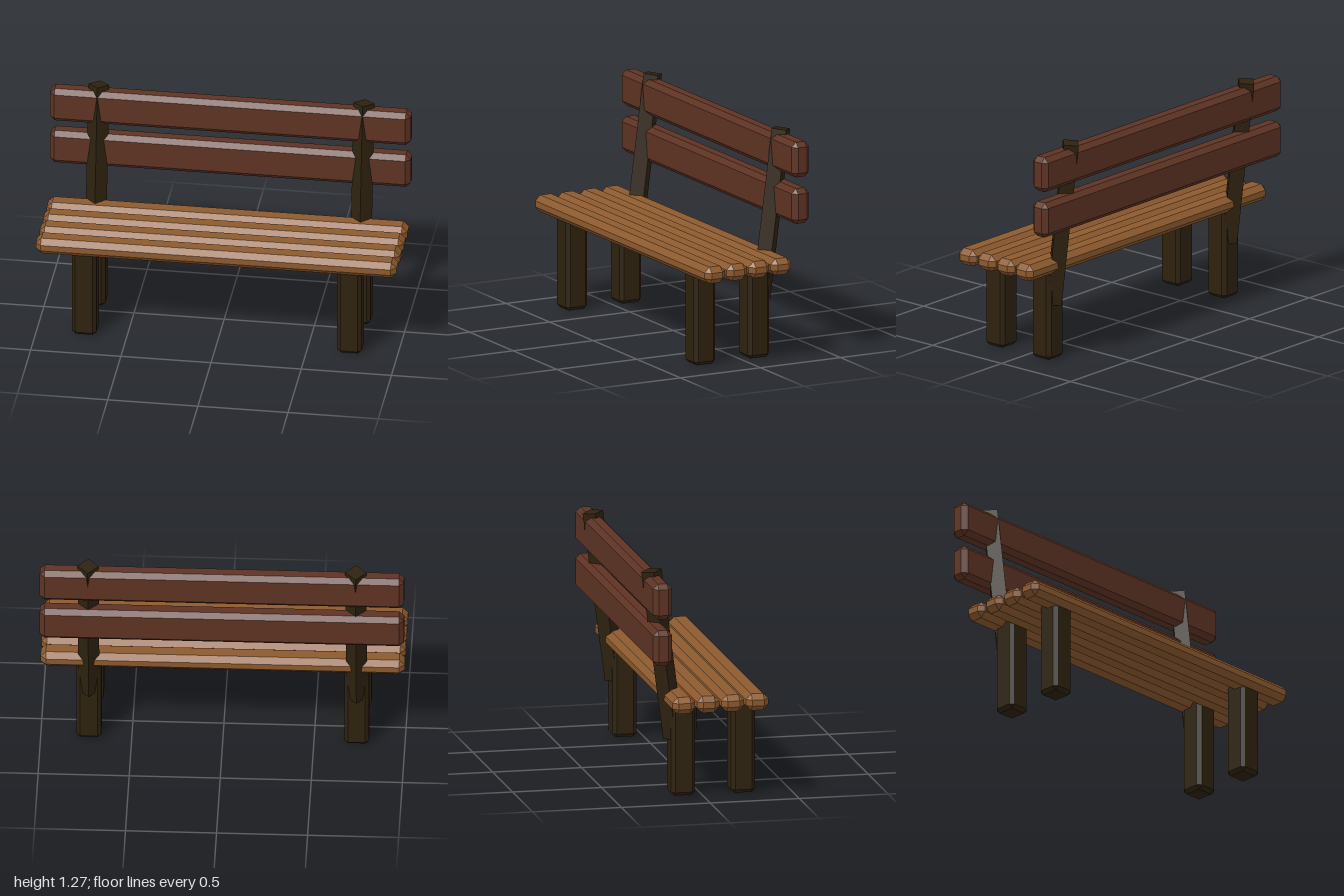
import * as THREE from 'three';
import { ConvexGeometry } from 'three/addons/geometries/ConvexGeometry.js';

// Box with every edge chamfered by c
function chamferBox(w, h, d, c) {
  const pts = [];
  for (const sx of [-1, 1]) for (const sy of [-1, 1]) for (const sz of [-1, 1]) {
    const x = w / 2, y = h / 2, z = d / 2;
    pts.push(
      new THREE.Vector3(sx * x, sy * (y - c), sz * (z - c)),
      new THREE.Vector3(sx * (x - c), sy * y, sz * (z - c)),
      new THREE.Vector3(sx * (x - c), sy * (y - c), sz * z)
    );
  }
  return new ConvexGeometry(pts);
}

function material(name, color) {
  const m = new THREE.MeshStandardMaterial({ color, flatShading: true });
  m.name = name;
  return m;
}

export function createModel() {
  const bench = new THREE.Group();
  bench.name = 'bench';
  const seatWood = material('seatWood', 0x8d5a2e);
  const backWood = material('backWood', 0x5e3323);
  const darkWood = material('darkWood', 0x2e220f);

  const add = (name, geometry, mat, x, y, z) => {
    const mesh = new THREE.Mesh(geometry, mat);
    mesh.name = name;
    mesh.position.set(x, y, z);
    bench.add(mesh);
    return mesh;
  };

  // Four seat slats
  const seatSlat = chamferBox(2, 0.094, 0.127, 0.03);
  for (const z of [0.27, 0.132, -0.006, -0.143]) add('seatSlat', seatSlat, seatWood, 0, 0.549, z);

  // Two backrest slats
  const backSlat = chamferBox(2, 0.199, 0.107, 0.027);
  for (const y of [0.878, 1.14]) add('backSlat', backSlat, backWood, 0, y, -0.2625);

  // Legs, and leaning diamond-section posts behind the seat
  const leg = chamferBox(0.135, 0.55, 0.135, 0.02);
  const post = new THREE.CylinderGeometry(0.058, 0.058, 0.954, 4);
  for (const x of [-0.735, 0.735]) {
    add('frontLeg', leg, darkWood, x, 0.275, 0.232);
    add('rearLeg', leg, darkWood, x, 0.275, -0.105);
    add('backPost', post, darkWood, x, 0.791, -0.21).rotation.x = -0.131;
  }
  return bench;
}
